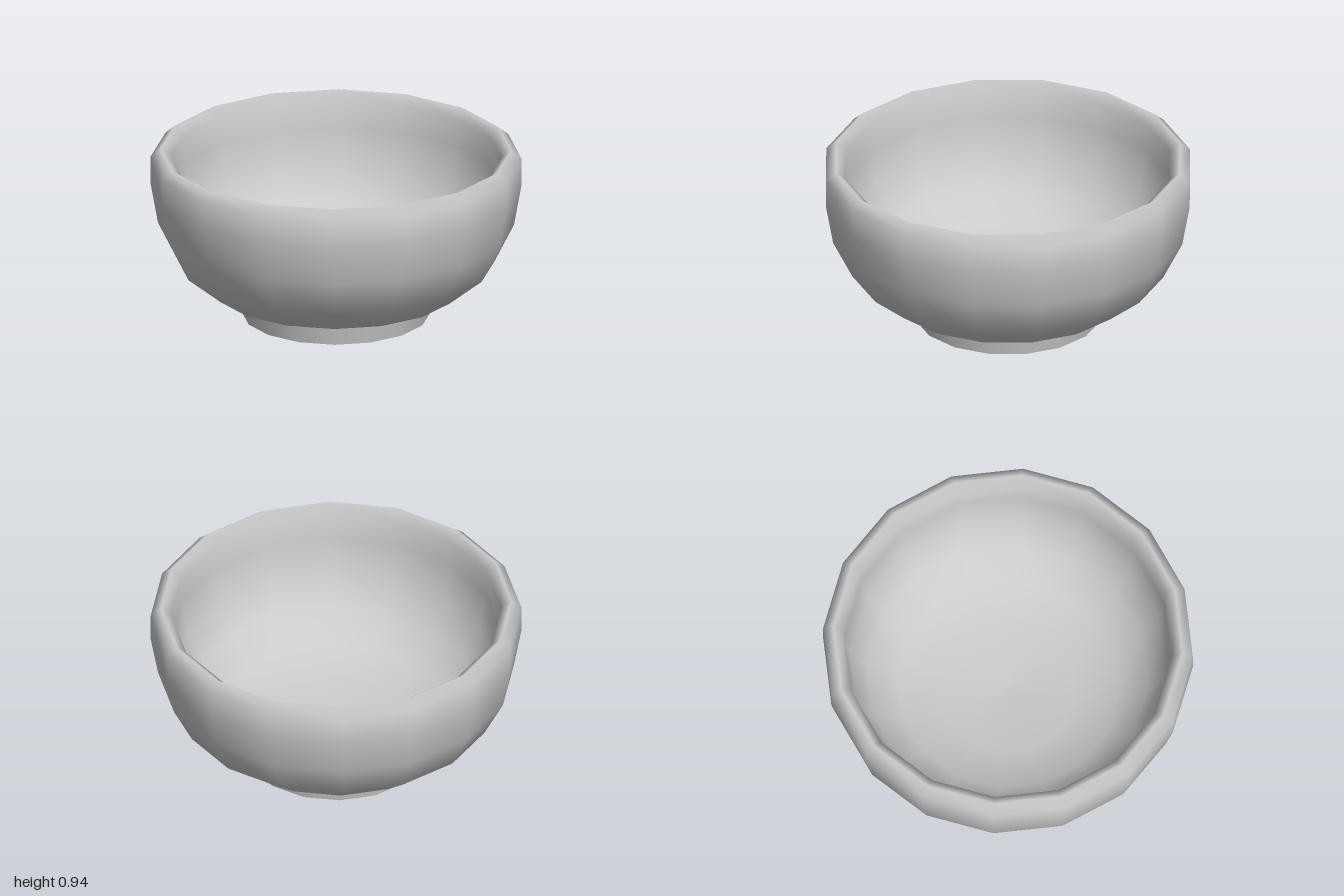
import * as THREE from 'three';

const SIDES = 16;

export function createModel() {
  const group = new THREE.Group();
  const material = new THREE.MeshStandardMaterial({ color: 0xcccccc });

  const add = (name, geometry) => {
    const mesh = new THREE.Mesh(geometry, material);
    mesh.name = name;
    group.add(mesh);
    return mesh;
  };
  const lathe = (points) =>
    new THREE.LatheGeometry(points.map(([r, y]) => new THREE.Vector2(r, y)), SIDES);

  // Bowl: up the outer wall, over the rounded rim, down the inner wall to the floor
  add('bowl', lathe([
    [0.53, 0.11], [0.67, 0.15], [0.855, 0.3], [0.96, 0.51], [1, 0.735], [1, 0.89],
    [0.945, 0.937],
    [0.89, 0.89], [0.89, 0.735], [0.855, 0.54], [0.76, 0.36], [0.6, 0.235], [0.36, 0.17], [0, 0.15],
  ]));

  // Foot ring, slightly flared towards the bowl
  add('foot', lathe([[0.507, 0], [0.53, 0.11]]));

  // Flat underside closing the foot
  const base = add('footBase', new THREE.CircleGeometry(0.507, SIDES));
  base.rotation.x = Math.PI / 2;

  return group;
}
